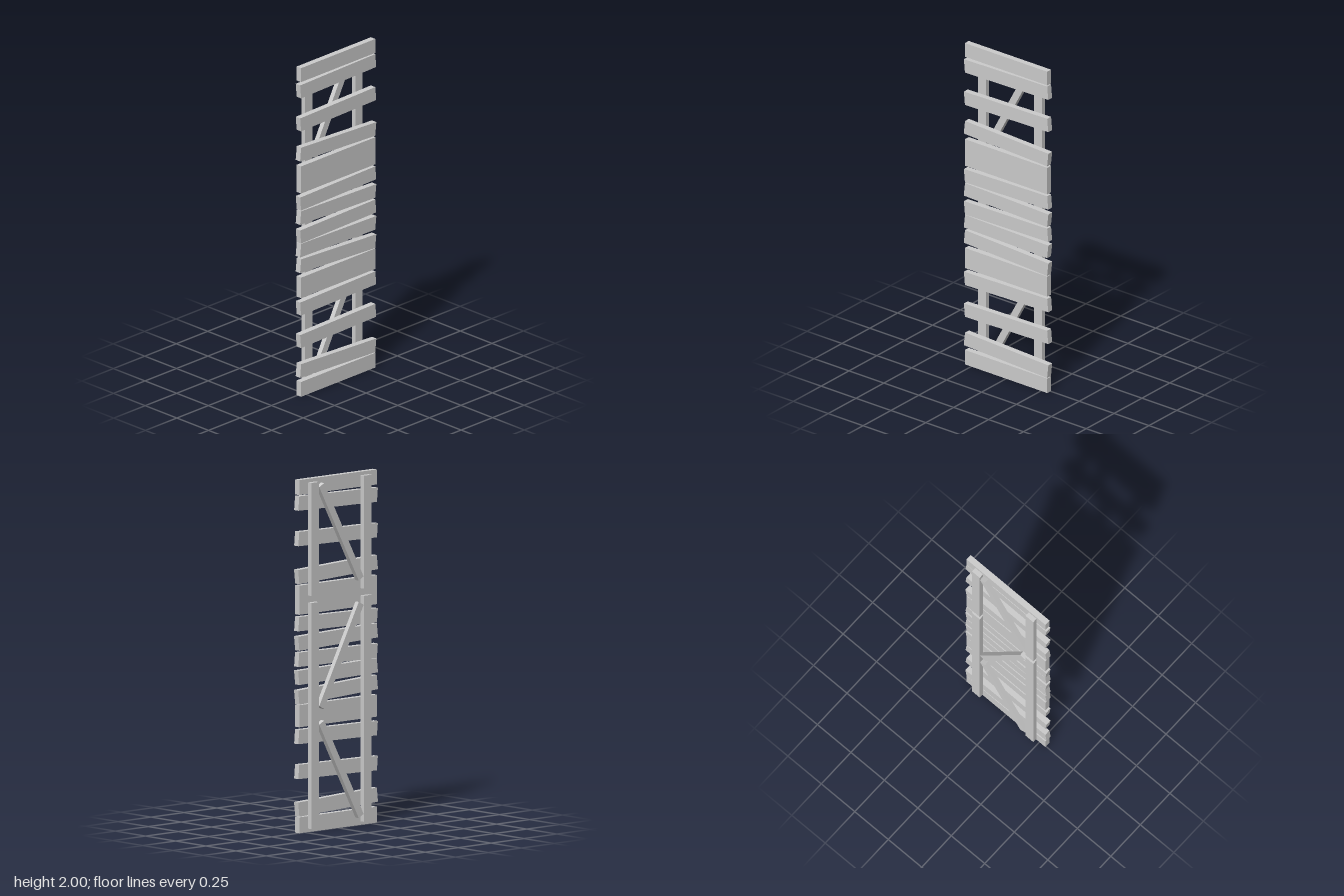
import * as THREE from 'three';

const material = new THREE.MeshStandardMaterial({ color: 0xcccccc, flatShading: true });

// Board in the xy plane, spanning z0..z1
function board(name, width, height, x, y, z0, z1) {
  const mesh = new THREE.Mesh(new THREE.BoxGeometry(width, height, z1 - z0), material);
  mesh.name = name;
  mesh.position.set(x, y, (z0 + z1) / 2);
  return mesh;
}

// Skews a board so it looks crooked: the long edges slope and the ends lean
function skew(mesh, slope) {
  const p = mesh.geometry.attributes.position;
  const lean = slope > 0 ? 0.09 : -0.11;
  for (let i = 0; i < p.count; i++) {
    const x = p.getX(i), y = p.getY(i);
    p.setXY(i, x - lean * y, y + slope * x);
  }
  mesh.geometry.computeVertexNormals();
  return mesh;
}

export function createModel() {
  const model = new THREE.Group();
  model.name = 'plankPanel';
  const back = -0.033, mid = -0.005, front = 0.03;

  // Straight planks: [bottom, top]
  for (const [y0, y1] of [[0, 0.09], [0.6, 0.725], [1.237, 1.402], [1.915, 2]]) {
    model.add(board('straightPlank', 0.59, y1 - y0, 0, (y0 + y1) / 2, mid, front));
  }

  // Crooked planks: [centre height, slope]
  const crooked = [
    [0.146, -0.04], [0.342, 0.018], [0.54, 0.018], [0.782, -0.045], [0.885, -0.018],
    [0.978, 0.015], [1.081, -0.025], [1.179, 0.018], [1.463, -0.04], [1.661, 0.018], [1.862, 0.018],
  ];
  for (const [y, slope] of crooked) {
    model.add(skew(board('crookedPlank', 0.597, 0.081, 0, y, mid, front), slope));
  }

  // Upright rails on the back, in a long lower and a short upper length
  for (const side of [-1, 1]) {
    model.add(board('lowerRail', 0.058, 1.28, side * 0.2, 0.66, back, mid));
    model.add(board('upperRail', 0.058, 0.64, side * 0.2, 1.66, back, mid));
  }

  // Diagonal braces zigzag between the rails
  for (const [y, side] of [[0.335, 1], [0.98, -1], [1.68, 1]]) {
    const brace = board('diagonalBrace', 0.635, 0.042, 0, y, back, mid);
    brace.rotation.z = side * Math.atan2(0.28, 0.15);
    model.add(brace);
  }
  return model;
}
